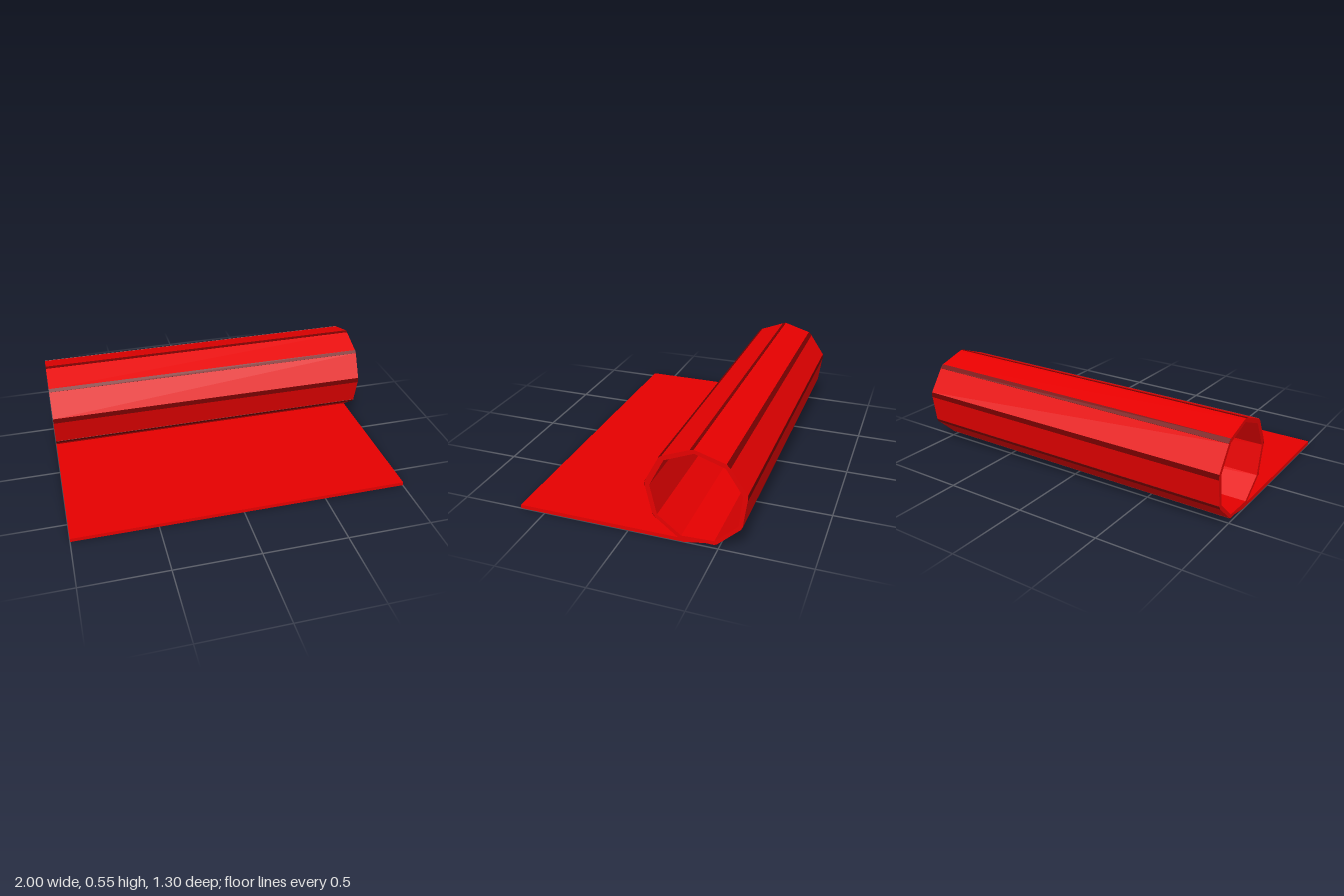
import * as THREE from 'three';

const WIDTH = 2;
const ROLL_CENTRE = new THREE.Vector2(0.375, 0.285);

// Folds on the outside of the nine-sided roll, as bevels between
// two [depth towards the back, height] points
const folds = [
  [[0.16, 0.116], [0.14, 0.14]],
  [[0.104, 0.297], [0.104, 0.328]],
  [[0.18, 0.474], [0.198, 0.488]],
  [[0.347, 0.547], [0.366, 0.551]],
  [[0.535, 0.502], [0.555, 0.481]],
  [[0.646, 0.349], [0.646, 0.318]],
  [[0.625, 0.161], [0.615, 0.141]],
  [[0.497, 0.03], [0.479, 0.02]],
];

// Side outline: flat sheet, then round the roll and back under it
const outline = [
  [0.313, 0], [-0.648, 0], [-0.648, 0.022], [0.281, 0.022],
  ...folds.slice(0, 4).flat(), [0.385, 0.547],
  ...folds.slice(4).flat(), [0.43, 0.02],
];

// Hollow inside of the roll, wound against the outline
const hollow = [
  [0.208, 0.464], [0.128, 0.307], [0.167, 0.137], [0.299, 0.036], [0.479, 0.043],
  [0.604, 0.161], [0.622, 0.339], [0.531, 0.477], [0.368, 0.53],
];

const toPoints = (pairs) => pairs.map(([u, v]) => new THREE.Vector2(u, v));

// Sweeps a side profile across the full width
function sweep(name, shape, material) {
  const geometry = new THREE.ExtrudeGeometry(shape, { depth: WIDTH, bevelEnabled: false });
  geometry.translate(0, 0, -WIDTH / 2);
  geometry.rotateY(Math.PI / 2);
  const mesh = new THREE.Mesh(geometry, material);
  mesh.name = name;
  return mesh;
}

export function createModel() {
  const group = new THREE.Group();
  group.name = 'rolledMat';
  const red = new THREE.MeshStandardMaterial({ color: 0xe60000, flatShading: true });
  const darkRed = new THREE.MeshStandardMaterial({ color: 0x780000, flatShading: true });

  // Half-rolled mat
  const profile = new THREE.Shape(toPoints(outline));
  profile.holes.push(new THREE.Path(toPoints(hollow)));
  group.add(sweep('matSheetAndRoll', profile, red));

  // Dark crease lying on each fold of the roll
  for (const fold of folds) {
    const [a, b] = toPoints(fold);
    const [outerA, outerB] = [a, b].map((p) => p.clone().sub(ROLL_CENTRE).multiplyScalar(1.007).add(ROLL_CENTRE));
    group.add(sweep('foldCrease', new THREE.Shape([a, b, outerB, outerA]), darkRed));
  }
  return group;
}
